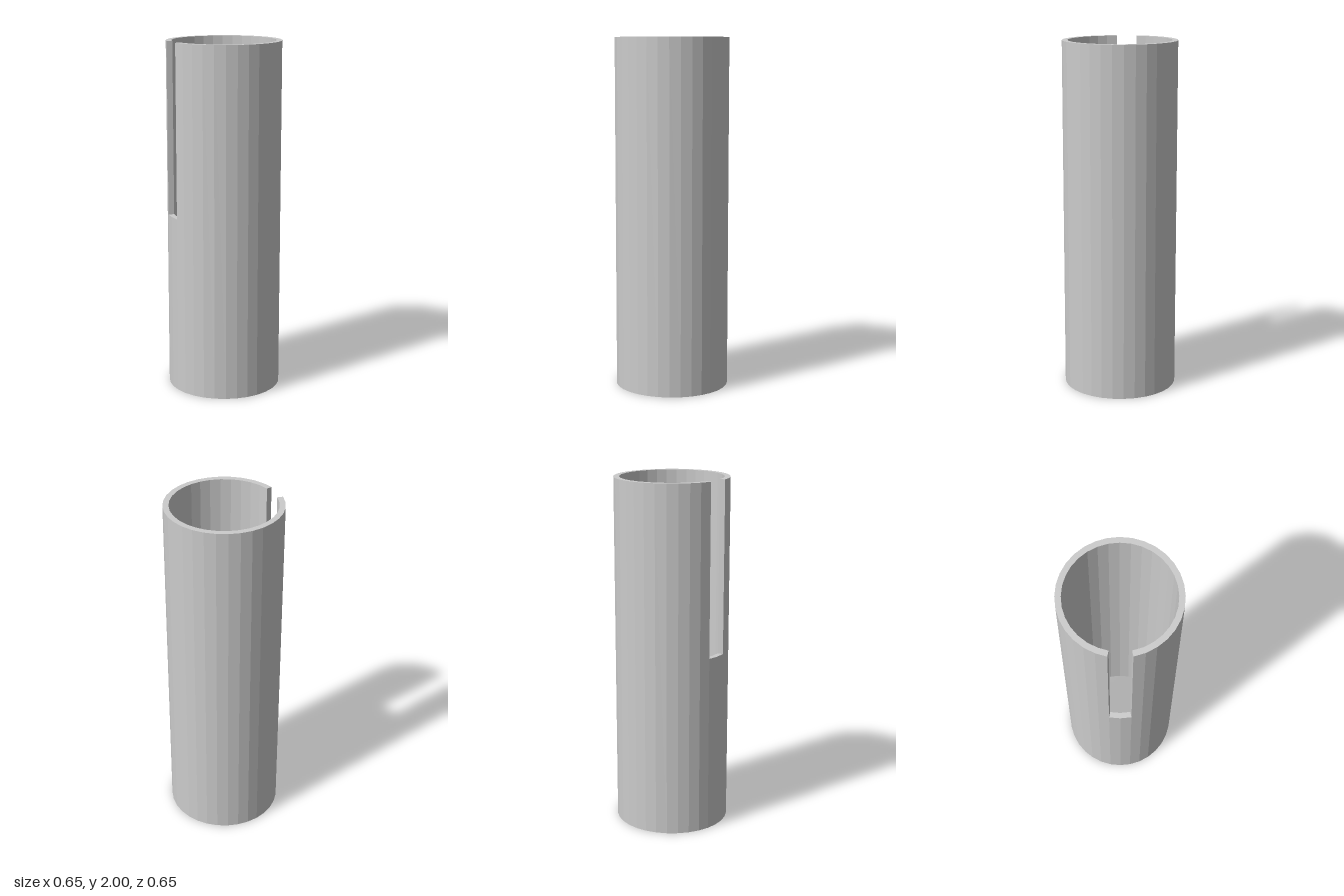
import * as THREE from 'three';

const SIDES = 32, OUTER = 0.324, INNER = 0.292, HEIGHT = 2;
const SLOT_BOTTOM = 1.02, SLOT_FIRST = 15, SLOT_END = 17; // sides opened by the slot, centred on -x

// Faceted tube wall with a slot cut down from the top edge
function slottedTubeGeometry() {
  const positions = [];
  const point = (r, i, y) => {
    const a = (i / SIDES) * Math.PI * 2;
    return [r * Math.cos(a), y, r * Math.sin(a)];
  };
  const quad = (a, b, c, d) => positions.push(...a, ...b, ...c, ...a, ...c, ...d);

  for (let i = 0; i < SIDES; i++) {
    const j = i + 1;
    const top = i >= SLOT_FIRST && i < SLOT_END ? SLOT_BOTTOM : HEIGHT;
    // outer skin, inner skin, upper rim, lower rim
    quad(point(OUTER, i, 0), point(OUTER, i, top), point(OUTER, j, top), point(OUTER, j, 0));
    quad(point(INNER, j, 0), point(INNER, j, top), point(INNER, i, top), point(INNER, i, 0));
    quad(point(INNER, i, top), point(INNER, j, top), point(OUTER, j, top), point(OUTER, i, top));
    quad(point(OUTER, i, 0), point(OUTER, j, 0), point(INNER, j, 0), point(INNER, i, 0));
  }

  // the two radial side walls of the slot, facing each other
  for (const [i, r0, r1] of [[SLOT_FIRST, INNER, OUTER], [SLOT_END, OUTER, INNER]]) {
    quad(point(r0, i, SLOT_BOTTOM), point(r1, i, SLOT_BOTTOM), point(r1, i, HEIGHT), point(r0, i, HEIGHT));
  }

  const geometry = new THREE.BufferGeometry();
  geometry.setAttribute('position', new THREE.Float32BufferAttribute(positions, 3));
  geometry.computeVertexNormals();
  return geometry;
}

export function createModel() {
  const group = new THREE.Group();
  group.name = 'slottedSleeve';
  const material = new THREE.MeshStandardMaterial({ color: 0xcccccc, flatShading: true });
  const tube = new THREE.Mesh(slottedTubeGeometry(), material);
  tube.name = 'slottedTube';
  group.add(tube);
  return group;
}
